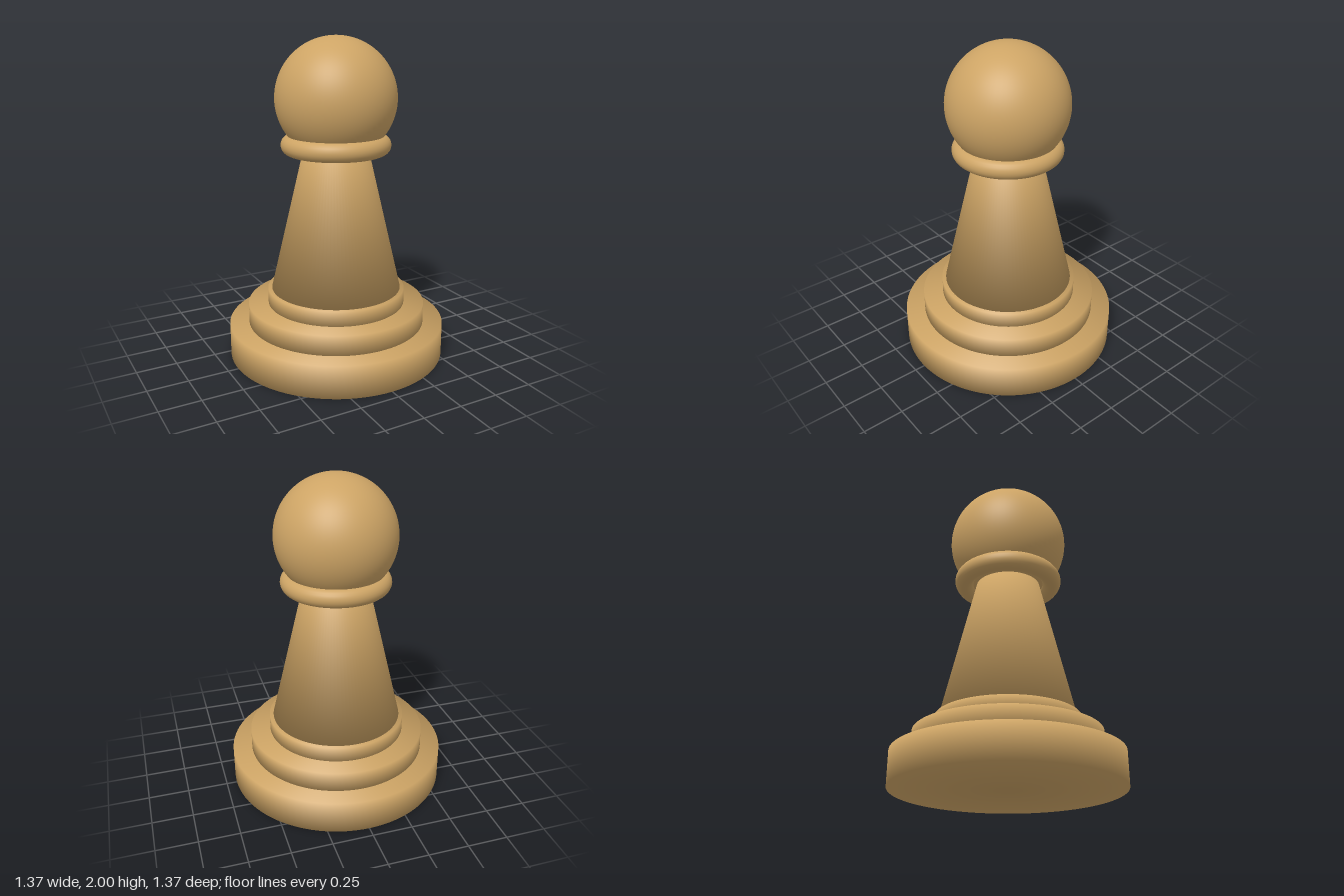
import * as THREE from 'three';

const SEGMENTS = 96;
const material = new THREE.MeshStandardMaterial({ color: 0xcda465 });

function add(group, name, geometry, y = 0) {
  const mesh = new THREE.Mesh(geometry, material);
  mesh.name = name;
  mesh.position.y = y;
  group.add(mesh);
}

// Closed turned drum whose normals blend softly over the rims
function drum(bottomRadius, topRadius, y0, y1) {
  const profile = [[0, y0], [bottomRadius, y0], [topRadius, y1], [0, y1]];
  const geometry = new THREE.LatheGeometry(profile.map(([x, y]) => new THREE.Vector2(x, y)), SEGMENTS);
  const { position, normal } = geometry.attributes;
  const n = new THREE.Vector3();
  for (let i = 0; i < position.count; i++) {
    n.set(position.getX(i), 0, position.getZ(i)).normalize();
    n.y = i % 4 < 2 ? -1 : 1;
    n.normalize();
    normal.setXYZ(i, n.x, n.y, n.z);
  }
  return geometry;
}

export function createModel() {
  const pawn = new THREE.Group();
  pawn.name = 'pawn';

  // Stepped foot
  add(pawn, 'base', drum(0.685, 0.685, 0, 0.205));
  add(pawn, 'middleStep', drum(0.562, 0.562, 0.2, 0.33));
  add(pawn, 'upperStep', drum(0.436, 0.436, 0.32, 0.425));

  // Tapered body, ending inside the head
  add(pawn, 'body', drum(0.412, 0.2, 0.42, 1.32));

  // Collar ring
  const collar = new THREE.TorusGeometry(0.28, 0.06, 24, SEGMENTS);
  collar.rotateX(Math.PI / 2);
  add(pawn, 'collar', collar, 1.345);

  // Ball head
  add(pawn, 'head', new THREE.SphereGeometry(0.373, 64, 48), 1.627);

  return pawn;
}
